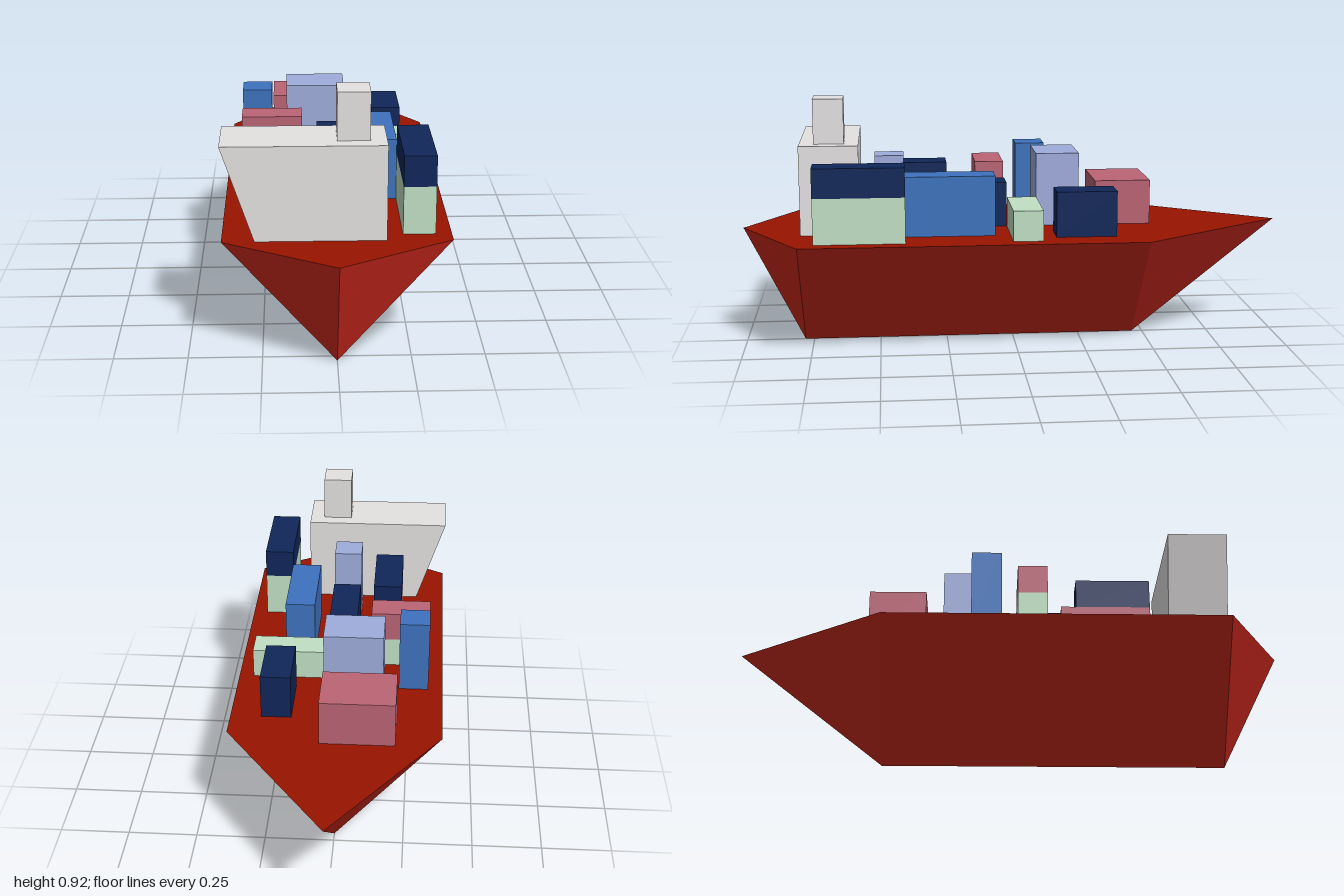
import * as THREE from 'three';

const DECK_Y = 0.432;

function material(name, color) {
  const m = new THREE.MeshStandardMaterial({ color });
  m.name = name;
  return m;
}

function triangles(points) {
  const g = new THREE.BufferGeometry();
  g.setAttribute('position', new THREE.Float32BufferAttribute(points.flat(), 3));
  g.computeVertexNormals();
  return g;
}

export function createModel() {
  const ship = new THREE.Group();
  ship.name = 'cargoShip';

  const hullRed = material('hullRed', 0xd32a1e);
  const deckRust = material('deckRust', 0x981400);
  const grey = material('cabinGrey', 0xe5e2e2);
  const navy = material('navy', 0x10275a);
  const blue = material('blue', 0x3e73bf);
  const green = material('paleGreen', 0xc1e1c5);
  const lavender = material('lavender', 0xa0addd);
  const pink = material('dustyPink', 0xbb6474);

  function add(name, geometry, mat, parent = ship) {
    const mesh = new THREE.Mesh(geometry, mat);
    mesh.name = name;
    parent.add(mesh);
    return mesh;
  }

  // Box given by its extents
  function block(name, mat, x0, x1, z0, z1, y0, y1, parent = ship) {
    const mesh = add(name, new THREE.BoxGeometry(x1 - x0, y1 - y0, z1 - z0), mat, parent);
    mesh.position.set((x0 + x1) / 2, (y0 + y1) / 2, (z0 + z1) / 2);
  }

  // Hull: six-sided deck outline drawn down to a straight keel line
  const outline = [[0, 1, 0.783], [0.378, 0.783, 0.783], [0.378, -0.46, -0.46],
    [0, -1, -0.46], [-0.378, -0.46, -0.46], [-0.378, 0.783, 0.783]];
  const rim = outline.map(([x, z]) => [x, DECK_Y, z]);
  const keel = outline.map(([, , z]) => [0, 0, z]);
  const sides = [];
  const top = [];
  for (let i = 0; i < 6; i++) {
    const j = (i + 1) % 6;
    sides.push(rim[i], keel[i], rim[j]);
    if (keel[i][2] !== keel[j][2]) sides.push(rim[j], keel[i], keel[j]);
    top.push([0, DECK_Y, 0], rim[i], rim[j]);
  }
  add('hull', triangles(sides), hullRed);
  add('deck', triangles(top), deckRust);

  // Bridge block with one raked side
  const section = new THREE.Shape([[-0.27, DECK_Y], [0.162, DECK_Y], [0.162, 0.757], [-0.378, 0.757]]
    .map(([x, y]) => new THREE.Vector2(x, y)));
  const bridge = new THREE.ExtrudeGeometry(section, { depth: 0.214, bevelEnabled: false });
  add('bridge', bridge, grey).position.z = 0.568;
  block('funnel', grey, 0, 0.108, 0.62, 0.73, 0.757, 0.92);

  // Containers: colour, x range, z range, bottom and top above the deck
  const cargo = new THREE.Group();
  cargo.name = 'containers';
  ship.add(cargo);
  [
    [pink, -0.215, 0.05, -0.512, -0.305, 0, 0.165],
    [navy, 0.16, 0.268, -0.355, -0.136, 0, 0.165],
    [lavender, -0.163, 0.052, -0.243, -0.083, 0, 0.271],
    [blue, -0.325, -0.217, -0.14, -0.03, 0, 0.271],
    [green, 0.054, 0.325, -0.083, 0.025, 0, 0.11],
    [green, -0.325, -0.108, 0.027, 0.134, 0, 0.11],
    [pink, -0.325, -0.108, 0.027, 0.134, 0.11, 0.218],
    [pink, -0.215, -0.108, 0.187, 0.512, 0, 0.11],
    [navy, -0.215, -0.108, 0.242, 0.512, 0.11, 0.218],
    [navy, -0.053, 0.052, 0.027, 0.352, 0, 0.165],
    [blue, 0.107, 0.217, 0.08, 0.405, 0, 0.218],
    [lavender, -0.053, 0.052, 0.405, 0.512, 0, 0.271],
    [green, 0.217, 0.325, 0.405, 0.73, 0, 0.165],
    [navy, 0.217, 0.325, 0.405, 0.73, 0.165, 0.271],
  ].forEach(([mat, x0, x1, z0, z1, y0, y1]) =>
    block('container', mat, x0, x1, z0, z1, DECK_Y + y0, DECK_Y + y1, cargo));

  return ship;
}
